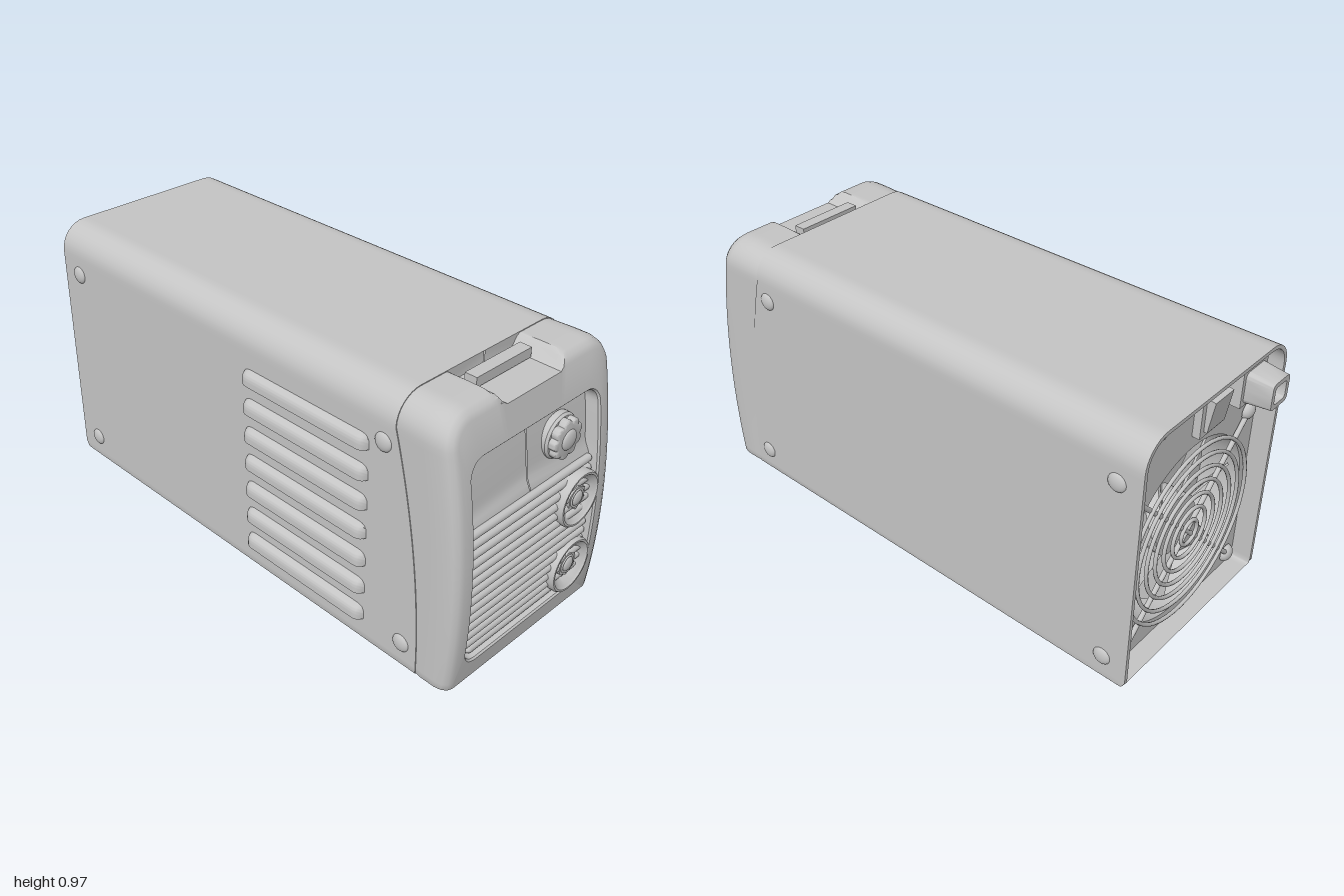
import * as THREE from 'three';
import { toCreasedNormals } from 'three/addons/utils/BufferGeometryUtils.js';

const grey = new THREE.MeshStandardMaterial({ color: 0xc4c4c4, side: THREE.DoubleSide });
grey.name = 'light grey';

const CX = 0.005; // middle of the case across x
const frontZ = (y) => 1 - 0.19 * (y - 0.3) ** 2; // bowed face
const seamZ = (y) => Math.max(0.735, 0.86 - 0.155 * (y / 0.97) ** 2); // joint of face and case
const tailZ = (y) => -0.925 + (y < 0.03 ? 0.03 - Math.sqrt(0.0009 - (0.03 - y) ** 2) : 0);
const floorZ = (y) => frontZ(y) - 0.035 - 0.015 * THREE.MathUtils.smoothstep(y, 0.56, 0.61);

function add(parent, name, geometry, x = 0, y = 0, z = 0) {
  const mesh = new THREE.Mesh(geometry, grey);
  mesh.name = name;
  mesh.position.set(x, y, z);
  parent.add(mesh);
  return mesh;
}

// Rounded rectangle as a counter-clockwise loop with evenly matched points
function loop(x0, x1, y0, y1, rTop, rBottom, side = 40, arc = 8) {
  const pts = [];
  const corners = [
    [x1, y0, -1, 1, rBottom, -90], [x1, y1, -1, -1, rTop, 0],
    [x0, y1, 1, -1, rTop, 90], [x0, y0, 1, 1, rBottom, 180],
  ];
  const at = ([x, y, sx, sy, r, a], k) => {
    const t = THREE.MathUtils.degToRad(a + 90 * k);
    return [x + sx * r + r * Math.cos(t), y + sy * r + r * Math.sin(t)];
  };
  corners.forEach((c, i) => {
    for (let k = 0; k <= arc; k++) pts.push(at(c, k / arc));
    const a = at(c, 1), b = at(corners[(i + 1) % 4], 0);
    for (let k = 1; k < side; k++) {
      const t = k / side;
      pts.push([a[0] + (b[0] - a[0]) * t, a[1] + (b[1] - a[1]) * t]);
    }
  });
  return pts;
}

// Skin over loops, listed from the front centre outward and back
function loft(rings, crease = 0.6) {
  const n = rings[0].length, pos = rings.flat(2), index = [];
  for (let i = 0; i < rings.length - 1; i++) {
    for (let j = 0; j < n; j++) {
      const a = i * n + j, b = i * n + (j + 1) % n;
      index.push(a, a + n, b, b, a + n, b + n);
    }
  }
  const g = new THREE.BufferGeometry();
  g.setAttribute('position', new THREE.Float32BufferAttribute(pos, 3));
  g.setIndex(index);
  g.computeVertexNormals();
  return toCreasedNormals(g, crease);
}

const place = (pts, z) => pts.map(([x, y]) => [x, y, z(y)]);
const caseLoop = (inset, low = 0) =>
  loop(CX - 0.385 + inset, CX + 0.385 - inset, low, 0.97 - inset, 0.1 - inset, 0.006);
const caseCore = () => loop(CX - 0.002, CX + 0.002, 0.001, 0.969, 0.001, 0.001);

// Cylinder or lathe turned to point along +z
const disc = (r0, r1, h, sides = 32) => new THREE.CylinderGeometry(r0, r1, h, sides).rotateX(Math.PI / 2);
const turned = (pts, sides = 40) => toCreasedNormals(
  new THREE.LatheGeometry(pts.map((p) => new THREE.Vector2(...p)), sides).rotateX(Math.PI / 2), 0.6);
const dome = (r, h) => new THREE.SphereGeometry(r, 20, 8, 0, Math.PI * 2, 0, Math.PI / 2)
  .scale(1, h / r, 1).rotateX(Math.PI / 2);

function buildFace(root) {
  const face = new THREE.Group();
  face.name = 'frontPanel';
  root.add(face);

  // Frame with sunken field and a notch in the top edge
  const notch = (x, y) => Math.min(y, 0.925 + Math.max(0, Math.abs(x - CX) - 0.135) * 1.5);
  const outer = (inset, back) => caseLoop(inset).map(([x, y]) => {
    const h = notch(x, y);
    return [x, h, back === null ? seamZ(h) : frontZ(h) - back];
  });
  const field = (i) => loop(-0.305 + i, 0.32 - i, 0.07 + i, 0.815 - i, 0.06 - i, 0.06 - i);
  add(face, 'faceFrame', loft([
    place(loop(0.005, 0.009, 0.08, 0.805, 0.001, 0.001), floorZ),
    place(field(0.008), floorZ),
    place(field(0.003), (y) => frontZ(y) - 0.006),
    place(field(-0.003), frontZ),
    outer(0.035, 0), outer(0.018, 0.006), outer(0.006, 0.02), outer(0, 0.045),
    outer(0, 0.1), outer(0.003, null), outer(0.012, null),
  ]));
  add(face, 'notchBar', new THREE.BoxGeometry(0.26, 0.035, 0.045), CX, 0.945, 0.79);

  // Horizontal ribs
  for (let i = 0; i < 14; i++) {
    const y = 0.093 + i * 0.0353;
    const short = i === 0 ? 0.035 : i === 1 ? 0.01 : 0;
    const rib = new THREE.CapsuleGeometry(0.0145, 0.585 - 2 * short, 4, 12).rotateZ(Math.PI / 2);
    add(face, 'rib', rib, 0.0075, y, floorZ(y) + 0.004);
  }

  // Scalloped control knob
  const knob = new THREE.Group();
  knob.name = 'knob';
  knob.position.set(0.16, 0.69, floorZ(0.69));
  face.add(knob);
  add(knob, 'knobSkirt', turned([[0.079, -0.01], [0.079, 0.012], [0.072, 0.02], [0, 0.02]]));
  const star = new THREE.Shape();
  for (let i = 0; i < 108; i++) {
    const a = (i / 108) * Math.PI * 2;
    const r = 0.064 - 0.011 * Math.pow(Math.abs(Math.cos(4.5 * a)), 3);
    star[i ? 'lineTo' : 'moveTo'](r * Math.cos(a), r * Math.sin(a));
  }
  star.closePath();
  add(knob, 'knobGrip', toCreasedNormals(new THREE.ExtrudeGeometry(star, {
    depth: 0.022, bevelSize: 0.008, bevelThickness: 0.008, bevelSegments: 3 }), 0.6), 0, 0, 0.016);
  add(knob, 'knobCap', dome(0.036, 0.012), 0, 0, 0.046);

  // Output sockets
  for (const y of [0.44, 0.168]) {
    const socket = new THREE.Group();
    socket.name = 'socket';
    socket.position.set(0.232, y, floorZ(y));
    face.add(socket);
    add(socket, 'socketCup', turned([[0.102, -0.02], [0.102, 0.028], [0.097, 0.036], [0.09, 0.036],
      [0.086, 0.03], [0.082, 0.028], [0.062, 0.006], [0, 0.006]]));
    add(socket, 'socketNut', disc(0.046, 0.048, 0.016, 6), 0, 0, 0.012);
    add(socket, 'socketCollar', new THREE.TorusGeometry(0.031, 0.004, 8, 28), 0, 0, 0.02);
    add(socket, 'socketPin', dome(0.027, 0.01), 0, 0, 0.02);
  }
}

function buildCase(root) {
  // Outer cover, open at the rear
  add(root, 'cover', loft([
    place(caseCore(), seamZ), place(caseLoop(0), seamZ), place(caseLoop(0), tailZ),
    place(caseLoop(0.014, 0.014), tailZ), place(caseLoop(0.014, 0.014), () => -0.83),
  ]));

  // Side screws
  for (const s of [-1, 1]) {
    for (const [z, y] of [[0.69, 0.8], [0.795, 0.09], [-0.835, 0.8], [-0.83, 0.09]]) {
      const screw = add(root, 'sideScrew', dome(0.033, 0.015), CX + s * 0.383, y, z);
      screw.rotation.y = s * Math.PI / 2;
    }
  }

  // Louvres with flat undersides and rounded ends
  const lip = new THREE.Shape();
  lip.moveTo(0.01, 0);
  lip.lineTo(-0.026, 0);
  lip.lineTo(-0.026, 0.02);
  lip.quadraticCurveTo(-0.025, 0.05, 0.01, 0.053);
  const g = new THREE.ExtrudeGeometry(lip, { depth: 0.555, steps: 60, bevelEnabled: false });
  const p = g.attributes.position;
  for (let i = 0; i < p.count; i++) {
    const d = Math.min(p.getZ(i), 0.555 - p.getZ(i), 0.035) / 0.035;
    const s = Math.sqrt(Math.max(0, 1 - (1 - d) ** 2));
    if (p.getX(i) < 0) p.setX(i, p.getX(i) * s);
    p.setY(i, p.getY(i) * (0.6 + 0.4 * s));
  }
  g.computeVertexNormals();
  const louvre = toCreasedNormals(g, 0.7);
  for (let i = 0; i < 7; i++) add(root, 'louvre', louvre, -0.379, 0.085 + i * 0.11, 0.08);
}

function buildRear(root) {
  const rear = new THREE.Group();
  rear.name = 'rearPanel';
  rear.position.set(CX, 0, -0.85);
  rear.rotation.y = Math.PI; // local +z points backward, local +x to the model's right
  root.add(rear);

  // Sunken plate with the fan opening
  const plate = new THREE.Shape(loop(-0.372, 0.372, 0.012, 0.957, 0.088, 0.006, 1)
    .map(([x, y]) => new THREE.Vector2(x, y)));
  plate.holes.push(new THREE.Path().absarc(0, 0.38, 0.335, 0, Math.PI * 2, true));
  add(rear, 'rearPlate', new THREE.ExtrudeGeometry(plate, {
    depth: 0.015, bevelEnabled: false, curveSegments: 48 }), 0, 0, -0.015);

  // Fan with shroud, hub and pitched blades
  const fan = new THREE.Group();
  fan.name = 'fan';
  fan.position.set(0, 0.38, 0);
  rear.add(fan);
  add(fan, 'shroud', turned([[0.335, 0], [0.335, -0.15], [0, -0.15]], 48));
  add(fan, 'hub', disc(0.11, 0.11, 0.09), 0, 0, -0.075);
  for (let i = 0; i < 7; i++) {
    const arm = new THREE.Group();
    arm.name = 'blade';
    arm.rotation.z = (i / 7) * Math.PI * 2;
    fan.add(arm);
    add(arm, 'bladePlate', new THREE.BoxGeometry(0.225, 0.15, 0.008), 0.205, 0, -0.08).rotation.x = 0.6;
  }

  // Wire guard
  for (let i = 0; i < 7; i++) {
    add(fan, 'guardRing', new THREE.TorusGeometry(0.045 + i * 0.048, 0.007, 8, 56), 0, 0, 0.022);
  }
  for (const s of [-1, 1]) {
    const rod = new THREE.CylinderGeometry(0.009, 0.009, 0.88, 10);
    add(fan, 'guardRod', rod, 0, 0, 0.012).rotation.z = s * Math.PI / 4;
    for (const t of [-1, 1]) add(fan, 'guardScrew', dome(0.033, 0.025), s * 0.31, t * 0.31, 0.005);
  }

  // Power switch
  add(rear, 'switchFrame', new THREE.BoxGeometry(0.14, 0.16, 0.03), 0.05, 0.845, 0.012);
  add(rear, 'switchRocker', new THREE.BoxGeometry(0.1, 0.12, 0.035), 0.05, 0.845, 0.03).rotation.x = 0.15;

  // Cable outlet: square flange and hollow tapered sleeve
  add(rear, 'cableFlange', new THREE.BoxGeometry(0.14, 0.13, 0.06), 0.215, 0.872, 0.03);
  const sq = (h, z) => place(loop(-h, h, -h, h, h * 0.35, h * 0.35, 2), () => z);
  add(rear, 'cableSleeve', loft([sq(0.002, 0.1), sq(0.032, 0.1), sq(0.032, 0.15), sq(0.049, 0.15),
    sq(0.058, 0.05)]), 0.217, 0.872, 0);
  add(rear, 'earthScrew', dome(0.022, 0.018), -0.2, 0.875, 0);
}

export function createModel() {
  const root = new THREE.Group();
  root.name = 'weldingInverter';
  buildFace(root);
  buildCase(root);
  buildRear(root);
  return root;
}
